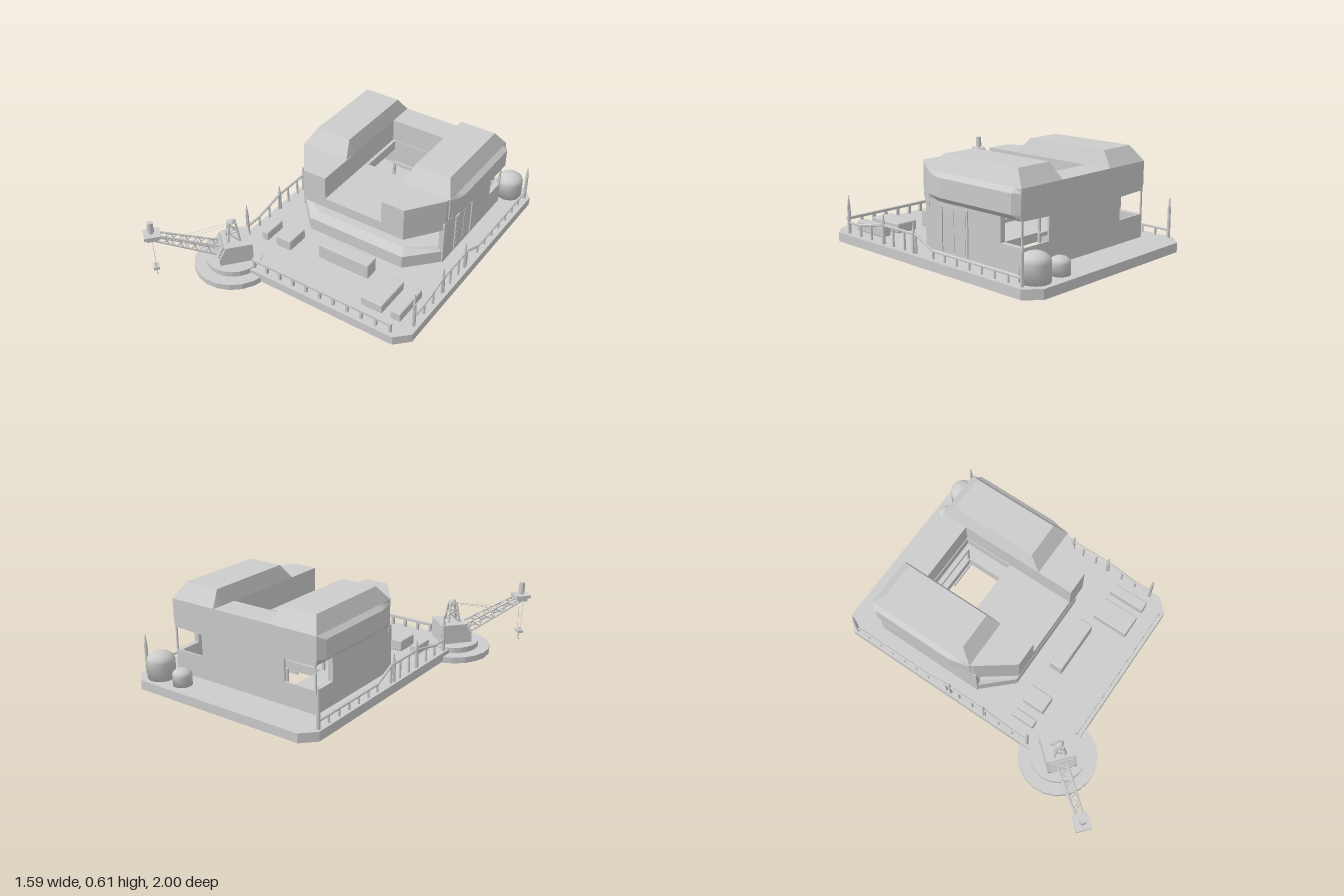
import * as THREE from 'three';
import { RoundedBoxGeometry } from 'three/addons/geometries/RoundedBoxGeometry.js';

const MID = 0.13; // symmetry line of the deck house
const mat = new THREE.MeshStandardMaterial({ color: 0xcccccc, flatShading: true, side: THREE.DoubleSide });
const smooth = new THREE.MeshStandardMaterial({ color: 0xcccccc, side: THREE.DoubleSide });
const V = (x, y, z) => new THREE.Vector3(x, y, z);

function add(parent, name, geo, pos = [0, 0, 0], m = mat) {
  const mesh = new THREE.Mesh(geo, m);
  mesh.name = name;
  mesh.position.set(...pos);
  parent.add(mesh);
  return mesh;
}

// Box given by its limits
function box(parent, name, x0, x1, y0, y1, z0, z1) {
  return add(parent, name, new THREE.BoxGeometry(x1 - x0, y1 - y0, z1 - z0),
    [(x0 + x1) / 2, (y0 + y1) / 2, (z0 + z1) / 2]);
}

// Plan outline of [x, z] points raised from y0 to y1
function slab(parent, name, plan, y0, y1, hole) {
  const toV = (p) => new THREE.Vector2(p[0], -p[1]);
  const shape = new THREE.Shape(plan.map(toV));
  if (hole) shape.holes.push(new THREE.Path(hole.map(toV)));
  const geo = new THREE.ExtrudeGeometry(shape, { depth: y1 - y0, bevelEnabled: false });
  geo.rotateX(-Math.PI / 2);
  return add(parent, name, geo, [0, y0, 0]);
}

// Round bar between two points
function bar(parent, name, a, b, r, r2 = r, sides = 6) {
  const mesh = add(parent, name, new THREE.CylinderGeometry(r2, r, a.distanceTo(b), sides));
  mesh.position.copy(a).lerp(b, 0.5);
  mesh.quaternion.setFromUnitVectors(V(0, 1, 0), b.clone().sub(a).normalize());
  return mesh;
}

// Closed solid through matching sections, counter-clockwise against the path
function loft(rings) {
  const n = rings[0].length, idx = [], last = (rings.length - 1) * n;
  for (let k = 0; k < rings.length - 1; k++) for (let i = 0; i < n; i++) {
    const a = k * n + i, b = k * n + (i + 1) % n;
    idx.push(a, b, b + n, a, b + n, a + n);
  }
  for (let i = 1; i < n - 1; i++) idx.push(0, i + 1, i, last, last + i, last + i + 1);
  const geo = new THREE.BufferGeometry();
  geo.setAttribute('position', new THREE.Float32BufferAttribute(rings.flat(2), 3));
  geo.setIndex(idx);
  const flat = geo.toNonIndexed();
  flat.computeVertexNormals();
  return flat;
}

const rect = (x0, x1, z0, z1) => [[x0, z0], [x1, z0], [x1, z1], [x0, z1]];
const POOL = rect(-0.045, 0.32, -0.605, -0.29);

function buildDeck(g) {
  const c = 0.08, x0 = -0.5, x1 = 0.793, z0 = -1, z1 = 0.635;
  slab(g, 'deck', [[x0 + c, z0], [x1 - c, z0], [x1, z0 + c], [x1, z1 - c], [x1 - c, z1],
    [x0 + c, z1], [x0, z1 - c], [x0, z0 + c]], 0.017, 0.073, POOL);
  // U-shaped collar below half of the pool
  box(g, 'poolCollar', 0.32, 0.33, 0, 0.017, -0.605, -0.285);
  for (const z of [-0.605, -0.295]) box(g, 'poolCollar', 0.13, 0.32, 0, 0.017, z, z + 0.01);

  // Deck crates
  for (const [a, b, c0, c1, h] of [[-0.39, -0.34, 0.22, 0.37, 0.06], [-0.28, -0.17, 0.22, 0.37, 0.07],
    [0, 0.35, 0.23, 0.32, 0.1], [0.43, 0.57, 0.275, 0.515, 0.06], [0.625, 0.69, 0.275, 0.515, 0.06]])
    add(g, 'deckCrate', new RoundedBoxGeometry(b - a, h, c1 - c0, 2, 0.008),
      [(a + b) / 2, 0.073 + h / 2, (c0 + c1) / 2], smooth);

  // Domed tanks
  for (const [x, z, r, top] of [[0.655, -0.89, 0.082, 0.232], [0.48, -0.9, 0.056, 0.172]]) {
    const pts = [[0, 0], [r, 0], [r, top - 0.073 - r * 0.65]].map((p) => new THREE.Vector2(...p));
    for (let i = 1; i <= 6; i++) {
      const t = i / 6 * Math.PI / 2;
      pts.push(new THREE.Vector2(r * Math.cos(t), top - 0.073 - r * 0.65 * (1 - Math.sin(t))));
    }
    add(g, 'tank', new THREE.LatheGeometry(pts, 24), [x, 0.073, z], smooth);
  }
}

function buildRailings(g) {
  // Front rail
  box(g, 'frontRail', -0.27, 0.69, 0.122, 0.137, 0.595, 0.615);
  for (let i = 0; i <= 10; i++) {
    const x = -0.26 + i * 0.094;
    box(g, 'frontRailPost', x - 0.008, x + 0.008, 0.073, 0.125, 0.597, 0.613);
  }
  // Side rails, raised beside the house front
  for (const [x, end, poles] of [
    [-0.478, 0.4, [[-0.9, 0.31], [-0.18, 0.25], [0.07, 0.25], [0.39, 0.3]]],
    [0.762, 0.5, [[-0.9, 0.31], [-0.09, 0.25], [0.17, 0.25], [0.49, 0.3]]]]) {
    const s = end - 0.5;
    const path = [[-0.9, 0.118], [s - 0.25, 0.118], [s - 0.11, 0.182], [s + 0.18, 0.182], [s + 0.38, 0.14], [end, 0.14]];
    for (let i = 0; i < path.length - 1; i++) {
      const [za, ya] = path[i], [zb, yb] = path[i + 1];
      bar(g, 'sideRail', V(x, ya, za), V(x, yb, zb), 0.008);
      const n = Math.max(1, Math.round((zb - za) / 0.1));
      for (let k = 0; k < n; k++) {
        const t = k / n, z = za + (zb - za) * t;
        bar(g, 'sideRailPost', V(x, 0.073, z), V(x, ya + (yb - ya) * t, z), 0.007);
      }
    }
    for (const [z, top] of poles) {
      bar(g, 'poleBase', V(x, 0.073, z), V(x, top - 0.06, z), 0.011, 0.01);
      bar(g, 'poleTip', V(x, top - 0.06, z), V(x, top, z), 0.009, 0.002);
    }
  }
}

function buildHouse(g) {
  // Chamfered front parapet with a sloping sill: [outer x, outer z, inner x, inner z] about the middle
  const parapet = [[-0.505, -0.06, -0.472, -0.06], [-0.33, 0.125, -0.31, 0.07],
    [0.33, 0.125, 0.31, 0.07], [0.505, -0.06, 0.472, -0.06]];
  add(g, 'frontParapet', loft(parapet.map(([xo, zo, xi, zi]) => [[MID + xo, 0.073, zo], [MID + xi, 0.073, zi],
    [MID + xi, 0.18, zi], [MID + xo, 0.155, zo]])));
  box(g, 'rearWall', -0.165, 0.43, 0.212, 0.35, -0.78, -0.768);
  box(g, 'rearSill', -0.375, 0.635, 0.073, 0.212, -0.78, -0.768);
  // Beams beside the pool and a hoist hanging from the hall ceiling
  for (const z of [-0.285, -0.625]) {
    box(g, 'poolBeam', -0.06, 0.33, 0.182, 0.204, z, z + 0.015);
    for (const x of [-0.06, 0.315]) box(g, 'poolBeamPost', x, x + 0.015, 0.073, 0.182, z, z + 0.015);
  }
  bar(g, 'hoistLine', V(MID, 0.23, -0.25), V(MID, 0.315, -0.25), 0.0015, 0.0015, 4);
  bar(g, 'hoistHook', V(MID, 0.205, -0.25), V(MID, 0.235, -0.25), 0.007, 0.004);

  // Roof: low middle slab, two wings and a rear bridge
  slab(g, 'roofSlab', rect(-0.065, 0.327, -0.61, 0.15), 0.312, 0.375, POOL);
  box(g, 'rearBridge', -0.07, 0.33, 0.345, 0.522, -0.78, -0.61);

  // [z, bulge width, tower rise 0..1]
  const stations = [[-0.78, 0.642, 0], [-0.74, 0.672, 0.57], [-0.71, 0.672, 1], [-0.2, 0.672, 1], [-0.155, 0.66, 1], [-0.08, 0.642, 0]];
  for (const side of [1, -1]) {
    const X = (x) => MID + side * (x - MID);
    const flip = (a) => (side > 0 ? a : a.reverse());
    slab(g, 'roofWingFront', flip([[0.325, -0.08], [0.636, -0.08], [0.63, -0.06], [0.475, 0.15], [0.325, 0.15]]
      .map(([x, z]) => [X(x), z])), 0.312, 0.522);
    const rings = stations.map(([z, w, t]) => flip([[0.325, 0.342], [0.632, 0.352], [w, 0.387], [w, 0.498],
      [Math.min(w, 0.642), 0.522], [0.642 - 0.05 * t, 0.522 + 0.09 * t], [0.33 + 0.03 * t, 0.522 + 0.09 * t], [0.325, 0.521]]
      .map(([x, y]) => [X(x), y, z])));
    add(g, 'roofTower', loft(rings));
    const wall = (name, xa, xb, ...r) => box(g, name, Math.min(X(xa), X(xb)), Math.max(X(xa), X(xb)), ...r);
    wall('sideWall', 0.602, 0.635, 0.212, 0.36, -0.63, -0.05);
    wall('sideSill', 0.602, 0.635, 0.073, 0.212, -0.768, -0.05);
    wall('cornerPost', 0.625, 0.635, 0.212, 0.36, -0.78, -0.772);
  }

  // Double door with frame in the left wall
  for (const z of [-0.37, -0.28]) box(g, 'sideDoor', 0.634, 0.638, 0.095, 0.32, z, z + 0.08);
  for (const z of [-0.39, -0.19]) box(g, 'doorFrame', 0.634, 0.642, 0.08, 0.34, z, z + 0.01);
  box(g, 'doorFrame', 0.634, 0.642, 0.33, 0.34, -0.38, -0.19);
}

function buildCrane(g) {
  const crane = new THREE.Group();
  crane.name = 'crane';
  crane.position.set(-0.43, 0, 0.582);
  crane.rotation.y = -0.709;
  g.add(crane);
  add(crane, 'turntableBase', new THREE.CylinderGeometry(0.243, 0.243, 0.038, 20), [0, 0.028, 0]);
  add(crane, 'turntable', new THREE.CylinderGeometry(0.17, 0.17, 0.035, 24), [0, 0.064, 0]);

  // Cab with sloping front, extruded across its width
  const side = new THREE.Shape([[-0.1, 0.08], [0.1, 0.08], [0.1, 0.12], [0.06, 0.203], [-0.1, 0.203]]
    .map(([z, y]) => new THREE.Vector2(-z, y)));
  const cab = new THREE.ExtrudeGeometry(side, { depth: 0.18, bevelEnabled: false });
  cab.translate(0, 0, -0.09).rotateY(Math.PI / 2);
  add(crane, 'craneCab', cab);
  // Slatted block at the foot of the boom
  const grille = new THREE.Group();
  grille.name = 'cabGrille';
  grille.position.set(0, 0.155, 0.085);
  grille.rotation.x = -0.45;
  crane.add(grille);
  for (let i = 0; i < 5; i++) box(grille, 'grilleSlat', -0.075, 0.075, -0.03 + i * 0.016, -0.02 + i * 0.016, -0.015, 0.012);

  // Lattice A-frame
  const corner = (sx, sz, t) => V(sx * (0.036 - 0.018 * t), 0.2 + 0.125 * t, sz * (0.036 - 0.018 * t));
  const ring = [[-1, -1], [1, -1], [1, 1], [-1, 1]];
  ring.forEach((c, i) => {
    const d = ring[(i + 1) % 4];
    bar(crane, 'mastLeg', corner(...c, 0), corner(...c, 1), 0.007);
    for (const t of [0, 0.5]) {
      bar(crane, 'mastBrace', corner(...c, t), corner(...d, t + 0.5), 0.004);
      bar(crane, 'mastRung', corner(...c, t + 0.5), corner(...d, t + 0.5), 0.004);
    }
  });
  add(crane, 'mastCap', new THREE.CylinderGeometry(0.014, 0.025, 0.018, 8), [0, 0.331, 0]);

  // Lattice boom
  const boom = (sx, sy, t) => V(sx * (0.032 - 0.012 * t), 0.15 + 0.16 * t + sy * (0.03 - 0.012 * t), 0.09 + 0.35 * t + sy * -0.008);
  const bays = 9;
  ring.forEach((c, i) => {
    const d = ring[(i + 1) % 4];
    bar(crane, 'boomChord', boom(...c, 0), boom(...c, 1), 0.006);
    for (let k = 0; k < bays; k++) {
      const [p, q] = k % 2 ? [c, d] : [d, c];
      bar(crane, 'boomBrace', boom(...p, k / bays), boom(...q, (k + 1) / bays), 0.0035);
    }
  });

  // Boom head, lamp, cables and hook
  const hz = 0.463;
  box(crane, 'boomHead', -0.045, 0.045, 0.319, 0.339, hz - 0.05, hz + 0.045);
  box(crane, 'boomHeadUnder', -0.03, 0.03, 0.297, 0.319, hz - 0.035, hz + 0.03);
  bar(crane, 'headLamp', V(0, 0.339, hz), V(0, 0.357, hz), 0.012, 0.012, 10);
  bar(crane, 'headLampCap', V(0, 0.352, hz), V(0, 0.417, hz), 0.02, 0.017, 12);
  for (const s of [-1, 1]) {
    bar(crane, 'hoistCable', V(s * 0.035, 0.307, hz), V(s * 0.018, 0.098, hz), 0.0012, 0.0012, 4);
    bar(crane, 'stayCable', V(s * 0.01, 0.32, 0), V(s * 0.02, 0.26, 0.3), 0.0012, 0.0012, 4);
  }
  box(crane, 'hookBlock', -0.026, 0.026, 0.081, 0.098, hz - 0.018, hz + 0.018);
  bar(crane, 'hookShank', V(0, 0.054, hz), V(0, 0.113, hz), 0.005);
  const hook = add(crane, 'hook', new THREE.TorusGeometry(0.011, 0.0035, 6, 12, Math.PI * 1.4), [0, 0.043, hz]);
  hook.rotation.z = -Math.PI * 0.9;
}

export function createModel() {
  const g = new THREE.Group();
  g.name = 'seaPlatform';
  const parts = { platform: buildDeck, railings: buildRailings, deckHouse: buildHouse, craneStation: buildCrane };
  for (const [name, build] of Object.entries(parts)) {
    const part = new THREE.Group();
    part.name = name;
    build(part);
    g.add(part);
  }
  return g;
}
